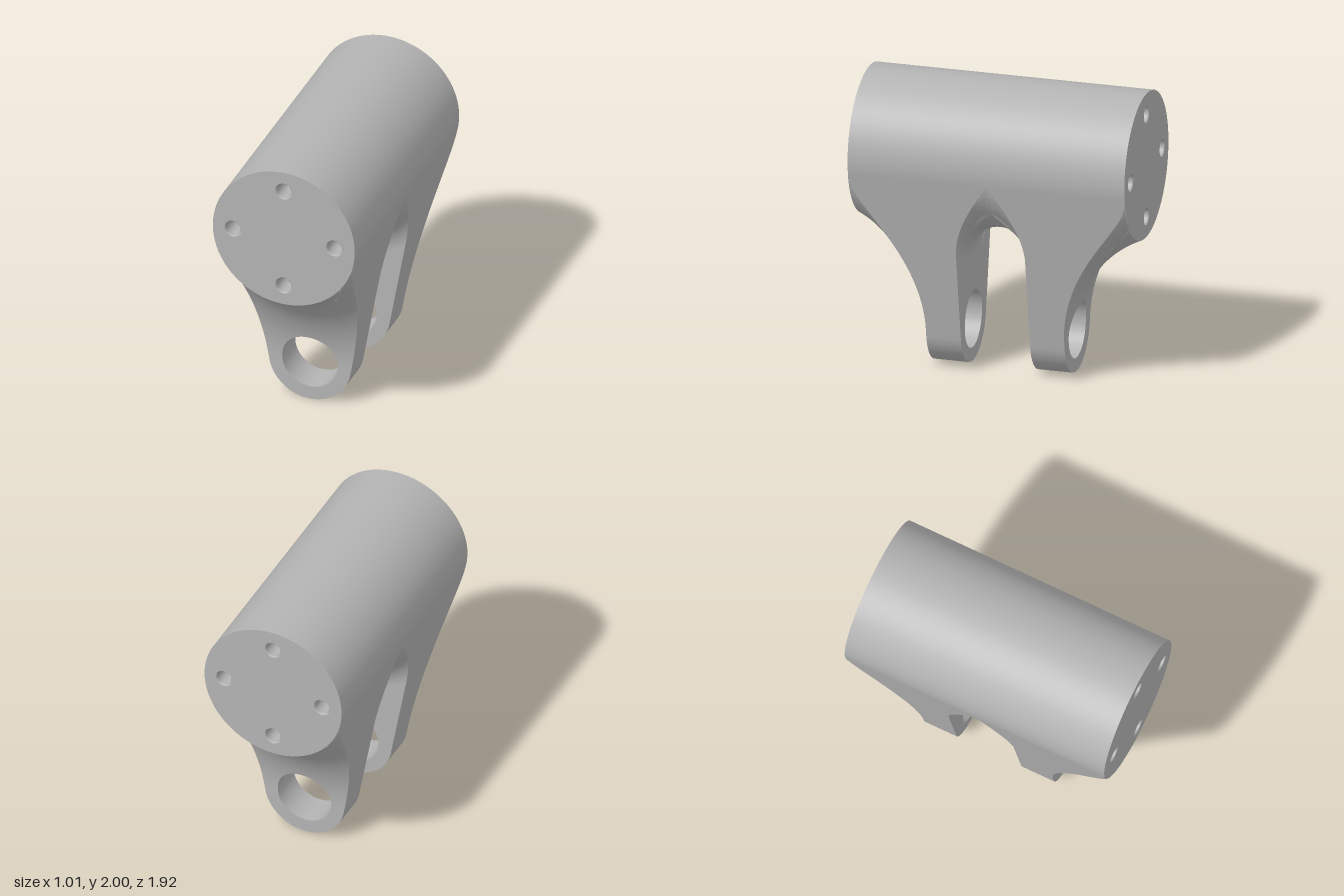
import * as THREE from 'three';

const R = 0.505, AXIS_Y = 1.495, HALF = 0.96;       // barrel
const EYE_Y = 0.292, EYE_R = 0.197, TIP_R = 0.292;   // lug eye and rounded tip
const IN_Z = 0.24, OUT_Z = 0.48;                     // lug faces
const FILLET = 0.8;                                  // outer blend radius

// Smooth surface through rows of points
function grid(rows, flip = false) {
  const n = rows[0].length, idx = [];
  for (let i = 0; i < rows.length - 1; i++) {
    for (let j = 0; j < n - 1; j++) {
      const a = i * n + j, b = a + 1, c = a + n + 1, d = a + n;
      if (flip) idx.push(a, c, b, a, d, c);
      else idx.push(a, b, c, a, c, d);
    }
  }
  const g = new THREE.BufferGeometry();
  g.setAttribute('position', new THREE.Float32BufferAttribute(rows.flat(2), 3));
  g.setIndex(idx);
  g.computeVertexNormals();
  return g;
}

// Blend profiles: z as a function of distance from the barrel axis
const axisDist = (x, y) => Math.hypot(x, y - AXIS_Y);
const filletEnd = R + Math.sqrt(FILLET ** 2 - (FILLET - HALF + OUT_Z) ** 2);
function outerZ(x, y) {
  const d = axisDist(x, y);
  if (d < R - 1e-6) return HALF - 0.005;
  const h = Math.max(0, filletEnd - d);
  return OUT_Z + FILLET - Math.sqrt(FILLET ** 2 - h * h);
}
function innerZ(x, y) {
  const h = Math.max(0, R + IN_Z - axisDist(x, y));
  return Math.sqrt(Math.max(0, IN_Z ** 2 - h * h));
}

// Lug outline: tapered sides tangent to the tip and barrel, then the barrel's underside
function lugOutline() {
  const pts = [], a = Math.asin((R - TIP_R) / (AXIS_Y - EYE_Y));
  const corner = [R * Math.cos(a), AXIS_Y - R * Math.sin(a)];
  const low = [TIP_R * Math.cos(a), EYE_Y - TIP_R * Math.sin(a)];
  const N = 48;
  const side = (s, t) => [s * THREE.MathUtils.lerp(corner[0], low[0], t),
    THREE.MathUtils.lerp(corner[1], low[1], t)];
  for (let i = 0; i < N; i++) pts.push(side(-1, i / N));
  for (let i = 0; i <= N; i++) {
    const q = -Math.PI + a + (Math.PI - 2 * a) * i / N;
    pts.push([TIP_R * Math.cos(q), EYE_Y + TIP_R * Math.sin(q)]);
  }
  for (let i = N - 1; i >= 0; i--) pts.push(side(1, i / N));
  const wallCount = pts.length;
  const span = Math.atan2(corner[0], corner[1] - EYE_Y), L = AXIS_Y - EYE_Y;
  for (let i = 0; i <= N; i++) {
    const q = span * (1 - 2 * i / N), r = R - 0.001;
    const k = L * Math.cos(q) - Math.sqrt(r * r - (L * Math.sin(q)) ** 2);
    pts.push([k * Math.sin(q), EYE_Y + k * Math.cos(q)]);
  }
  pts.push(pts[0]);
  return { pts, wallCount };
}

function makeLug(material) {
  const lug = new THREE.Group();
  const { pts, wallCount } = lugOutline();
  const eye = pts.map(([x, y]) => {
    const k = EYE_R / Math.hypot(x, y - EYE_Y);
    return [x * k, EYE_Y + (y - EYE_Y) * k];
  });
  const RINGS = 44;
  const face = (zf) => pts.map((p, i) => Array.from({ length: RINGS + 1 }, (_, j) => {
    const t = 1 - (1 - j / RINGS) ** 2;              // finer towards the barrel
    const x = THREE.MathUtils.lerp(eye[i][0], p[0], t);
    const y = THREE.MathUtils.lerp(eye[i][1], p[1], t);
    return [x, y, zf(x, y)];
  }));
  const strip = (loop, za, zb) => loop.map(([x, y]) => [[x, y, za(x, y)], [x, y, zb(x, y)]]);
  const add = (name, geo) => {
    const m = new THREE.Mesh(geo, material);
    m.name = name;
    lug.add(m);
  };
  add('lugOuterFace', grid(face(outerZ)));
  add('lugInnerFace', grid(face(innerZ), true));
  add('lugEdge', grid(strip(pts.slice(0, wallCount), outerZ, innerZ)));
  add('lugEyeBore', grid(strip(eye, innerZ, outerZ)));
  return lug;
}

export function createModel() {
  const model = new THREE.Group();
  model.name = 'clevisBracket';
  const metal = new THREE.MeshStandardMaterial({ color: 0xb3b3b3 });
  metal.name = 'grey metal';

  // Barrel wall
  const barrel = new THREE.Group();
  barrel.name = 'barrel';
  barrel.position.y = AXIS_Y;
  model.add(barrel);
  const wall = new THREE.Mesh(
    new THREE.CylinderGeometry(R, R, 2 * HALF, 128, 1, true).rotateX(Math.PI / 2), metal);
  wall.name = 'barrelWall';
  barrel.add(wall);

  // End caps with four bolt holes
  const bolts = [0, 1, 2, 3].map((i) => [0.361 * Math.cos(i * Math.PI / 2), 0.361 * Math.sin(i * Math.PI / 2)]);
  const disc = new THREE.Shape().absarc(0, 0, R, 0, Math.PI * 2);
  for (const [x, y] of bolts) disc.holes.push(new THREE.Path().absarc(x, y, 0.06, 0, Math.PI * 2, true));
  const capGeo = new THREE.ShapeGeometry(disc, 64);
  for (const s of [1, -1]) {
    const cap = new THREE.Mesh(capGeo, metal);
    cap.name = s > 0 ? 'frontCap' : 'backCap';
    cap.position.z = s * HALF;
    if (s < 0) cap.rotation.y = Math.PI;
    barrel.add(cap);
  }

  // Through bores with chamfered mouths, facing inwards
  const bore = [[0.06, HALF], [0.051, HALF - 0.01], [0.051, 0.01 - HALF], [0.06, -HALF]]
    .map(([r, z]) => new THREE.Vector2(r, z));
  const boreGeo = new THREE.LatheGeometry(bore, 48).rotateX(Math.PI / 2);
  for (const [x, y] of bolts) {
    const m = new THREE.Mesh(boreGeo, metal);
    m.name = 'boltBore';
    m.position.set(x, y, 0);
    barrel.add(m);
  }

  // Pair of lugs blended into the barrel
  const front = makeLug(metal);
  front.name = 'frontLug';
  const back = front.clone();
  back.name = 'backLug';
  back.rotation.y = Math.PI;
  model.add(front, back);
  return model;
}
